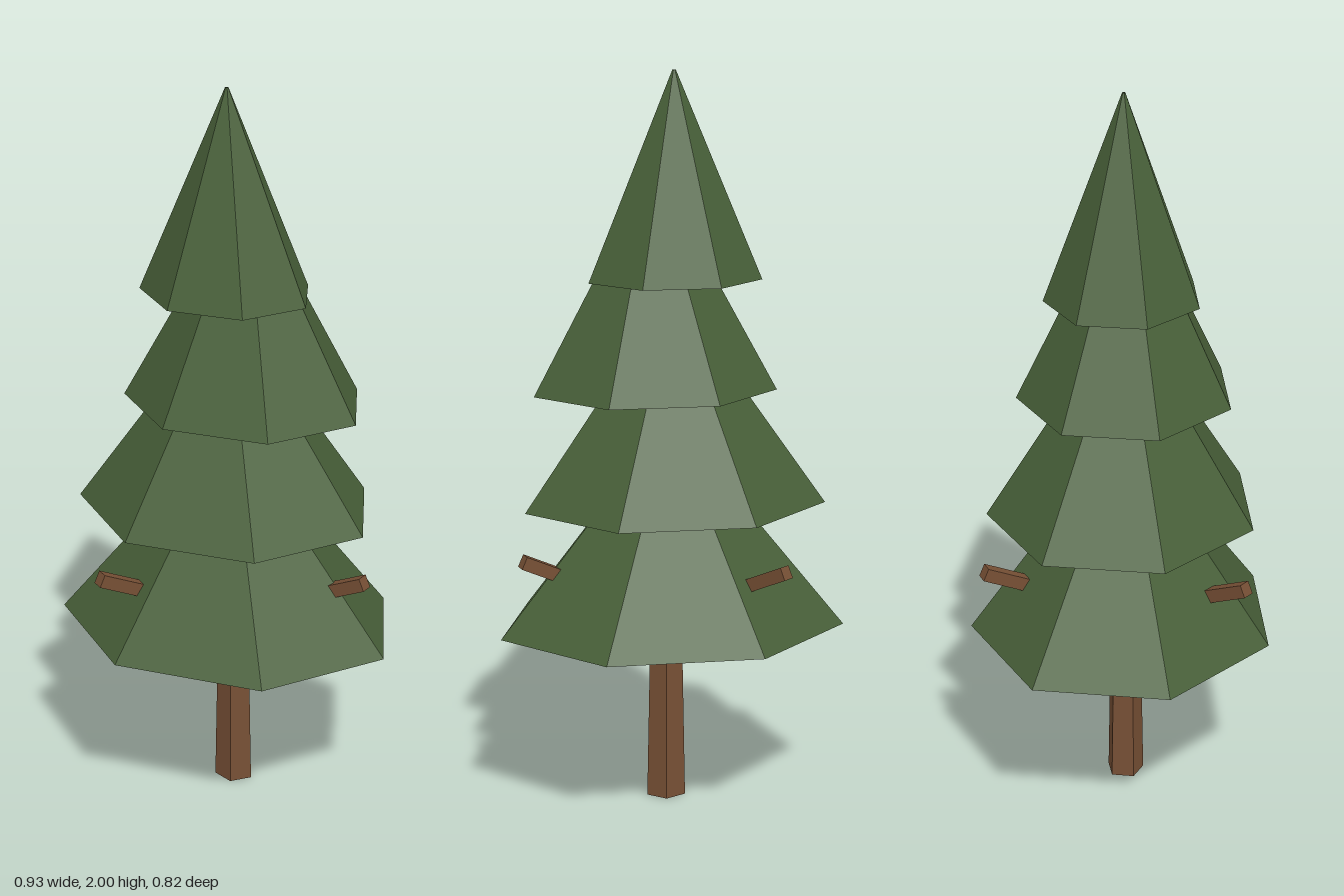
import * as THREE from 'three';

export function createModel() {
  const tree = new THREE.Group();
  tree.name = 'pineTree';

  const needles = new THREE.MeshStandardMaterial({ color: 0x486039, flatShading: true, side: THREE.DoubleSide });
  needles.name = 'needle green';
  const bark = new THREE.MeshStandardMaterial({ color: 0x775035, flatShading: true });
  bark.name = 'bark brown';

  const add = (name, geometry, material) => {
    const mesh = new THREE.Mesh(geometry, material);
    mesh.name = name;
    tree.add(mesh);
    return mesh;
  };

  // Tapered five-sided trunk with one corner towards +x
  const trunkHeight = 1.1;
  const trunk = new THREE.CylinderGeometry(0.032, 0.0526, trunkHeight, 5, 1, false, Math.PI / 2);
  trunk.scale(1.055, 1, 1).translate(-0.015, trunkHeight / 2, 0);
  add('trunk', trunk, bark);

  // Hollow seven-sided skirts of foliage: centre x, base y, height, x radius, z radius
  const tiers = [
    [-0.027, 0.492, 0.565, 0.487, 0.4225],
    [-0.035, 0.835, 0.57, 0.423, 0.372],
    [0.021, 1.15, 0.59, 0.339, 0.297],
    [-0.037, 1.445, 0.555, 0.242, 0.212],
  ];
  tiers.forEach(([x, y, height, rx, rz], i) => {
    const skirt = new THREE.CylinderGeometry(0.02, 1, height, 7, 1, true, Math.PI / 2);
    skirt.scale(rx, 1, rz).translate(x, y + height / 2, 0);
    add(`foliageTier${i + 1}`, skirt, needles);
  });

  // Three bare square branches rising out through the lowest skirt
  const reach = 0.41, rise = 0.185, thickness = 0.036;
  const length = Math.hypot(reach, rise);
  for (let i = 0; i < 3; i++) {
    const branch = new THREE.BoxGeometry(length, thickness, thickness);
    branch.translate(length / 2, 0, 0).rotateZ(Math.atan2(rise, reach));
    branch.rotateY(i * Math.PI * 2 / 3).translate(-0.014, 0.518, 0);
    add(`branch${i + 1}`, branch, bark);
  }

  return tree;
}
